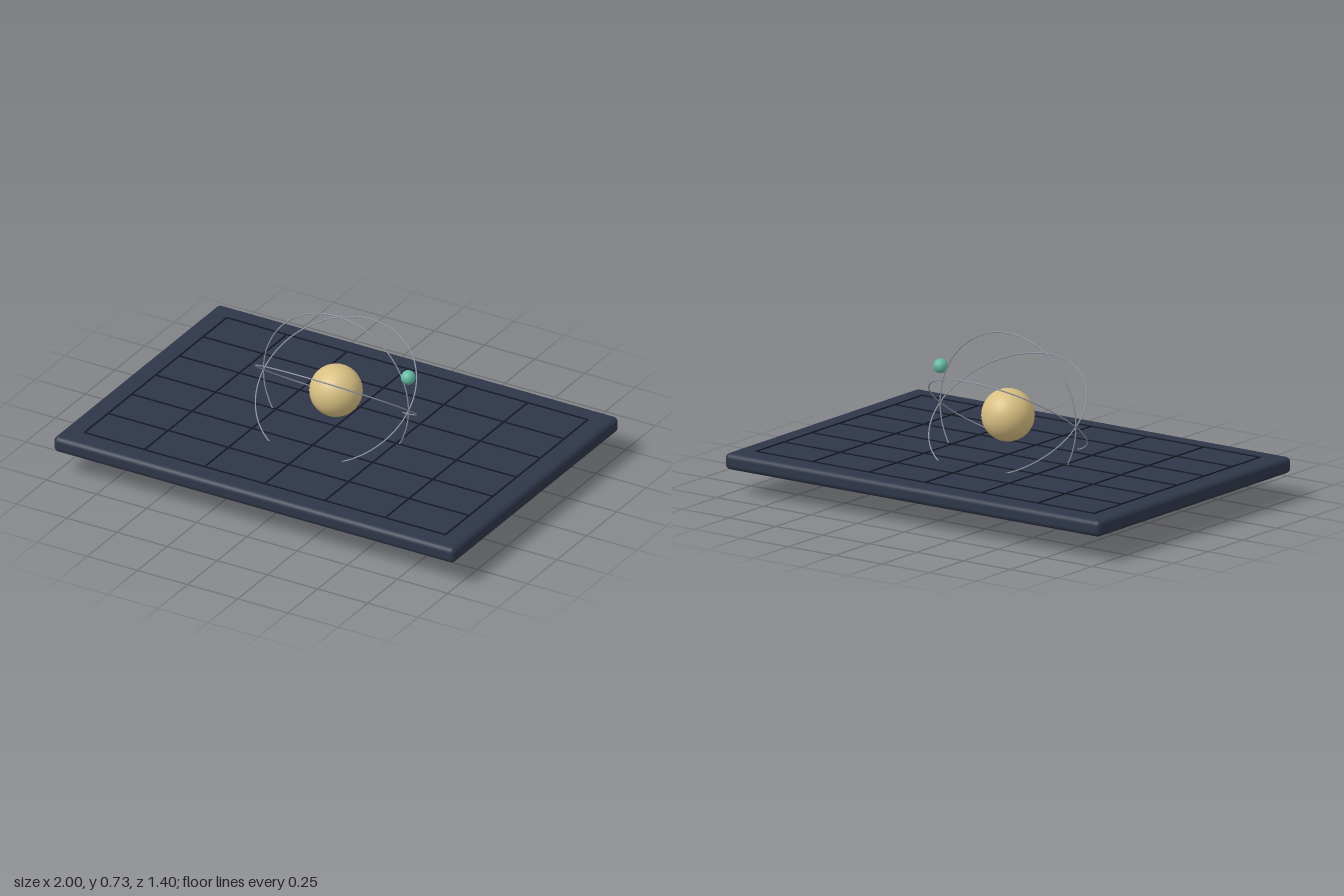
import * as THREE from 'three';
import { RoundedBoxGeometry } from 'three/addons/geometries/RoundedBoxGeometry.js';

const material = (name, color) => {
  const m = new THREE.MeshStandardMaterial({ color });
  m.name = name;
  return m;
};

export function createModel() {
  const slate = material('slate blue', 0x2e3648);
  const ink = material('dark ink', 0x151a26);
  const gold = material('pale gold', 0xd8bf82);
  const teal = material('teal', 0x62b8a2);
  const steel = material('steel grey', 0x8a909c);

  const model = new THREE.Group();
  const add = (name, geometry, mat, x = 0, y = 0, z = 0) => {
    const mesh = new THREE.Mesh(geometry, mat);
    mesh.name = name;
    mesh.position.set(x, y, z);
    model.add(mesh);
    return mesh;
  };

  // Base slab
  add('baseSlab', new RoundedBoxGeometry(2, 0.073, 1.4, 4, 0.024), slate, 0, 0.151, 0);

  // Grid of thin strips lying on the slab
  const top = 0.189;
  for (let i = -3; i <= 3; i++) {
    add('gridLineAcross', new THREE.BoxGeometry(1.8, 0.006, 0.006), ink, 0, top, i * 0.2);
    add('gridLineDeep', new THREE.BoxGeometry(0.006, 0.006, 1.2), ink, i * 0.3, top, 0);
  }

  // Core sphere
  const centre = 0.365;
  add('coreSphere', new THREE.SphereGeometry(0.115, 48, 32), gold, 0, centre, 0);

  // Three orbit rings: one upright, two tilted 35 degrees from level
  const tilt = THREE.MathUtils.degToRad(55);
  for (const angle of [0, tilt, -tilt]) {
    const ring = add('orbitRing', new THREE.TorusGeometry(0.3615, 0.003, 8, 128), steel, 0, centre, 0);
    ring.rotation.x = angle;
  }

  // Small satellite
  add('satellite', new THREE.SphereGeometry(0.032, 32, 20), teal, 0.36, 0.527, 0);

  return model;
}
